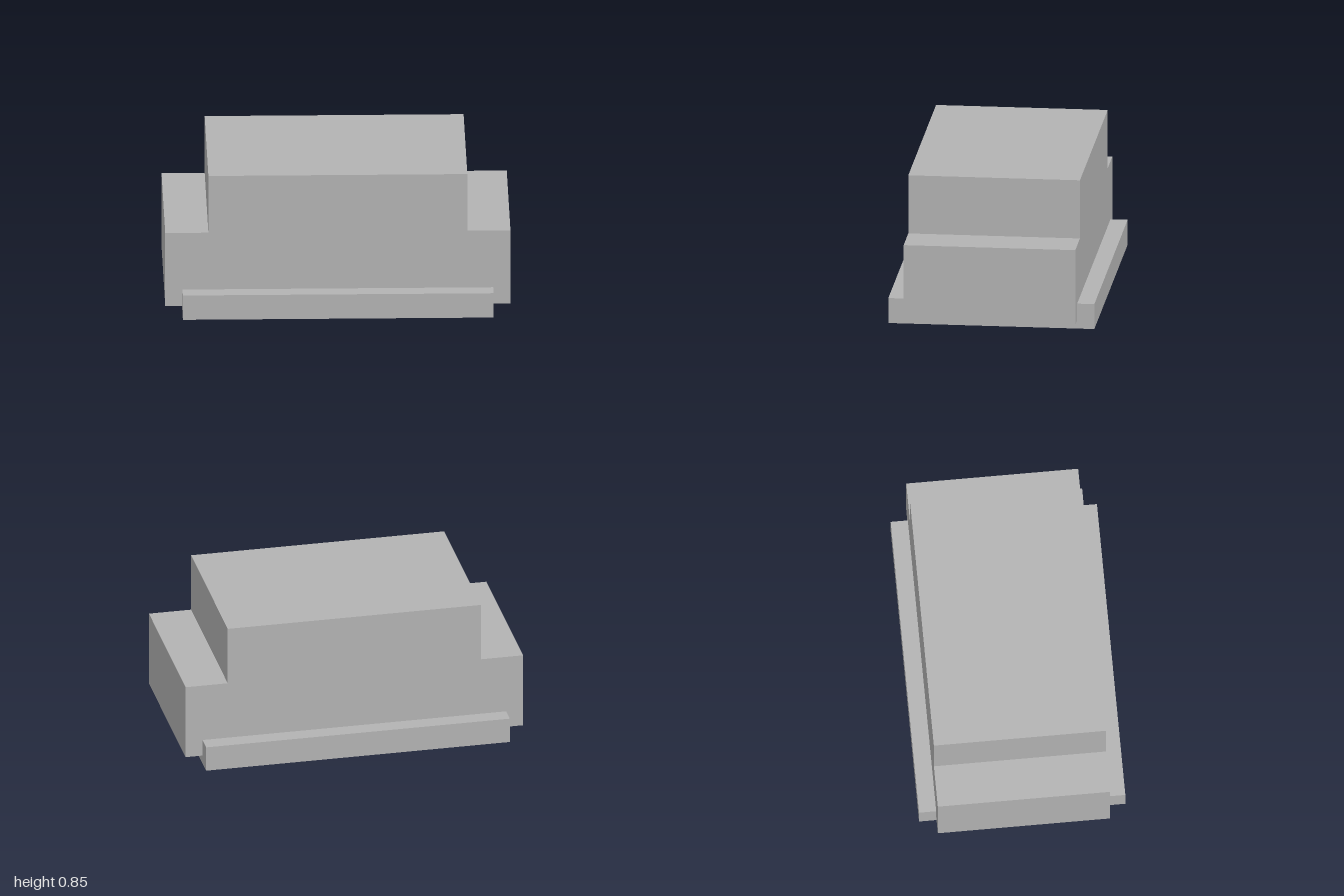
import * as THREE from 'three';

export function createModel() {
  const group = new THREE.Group();
  const grey = new THREE.MeshStandardMaterial({ color: 0xb2b2b2 });
  grey.name = 'grey';

  const add = (name, geometry, y, z) => {
    const mesh = new THREE.Mesh(geometry, grey);
    mesh.name = name;
    mesh.position.set(0, y, z);
    group.add(mesh);
  };

  // Stepped body: a wide lower block with a narrower raised middle
  const profile = new THREE.Shape([
    [-1, 0.05], [1, 0.05], [1, 0.5], [0.75, 0.5],
    [0.75, 0.85], [-0.75, 0.85], [-0.75, 0.5], [-1, 0.5],
  ].map(([x, y]) => new THREE.Vector2(x, y)));
  add('body', new THREE.ExtrudeGeometry(profile, { depth: 1, bevelEnabled: false }), 0, -0.5);

  // Base plate, projecting at the front and back
  add('basePlate', new THREE.BoxGeometry(1.8, 0.15, 1.2), 0.075, 0);

  return group;
}
